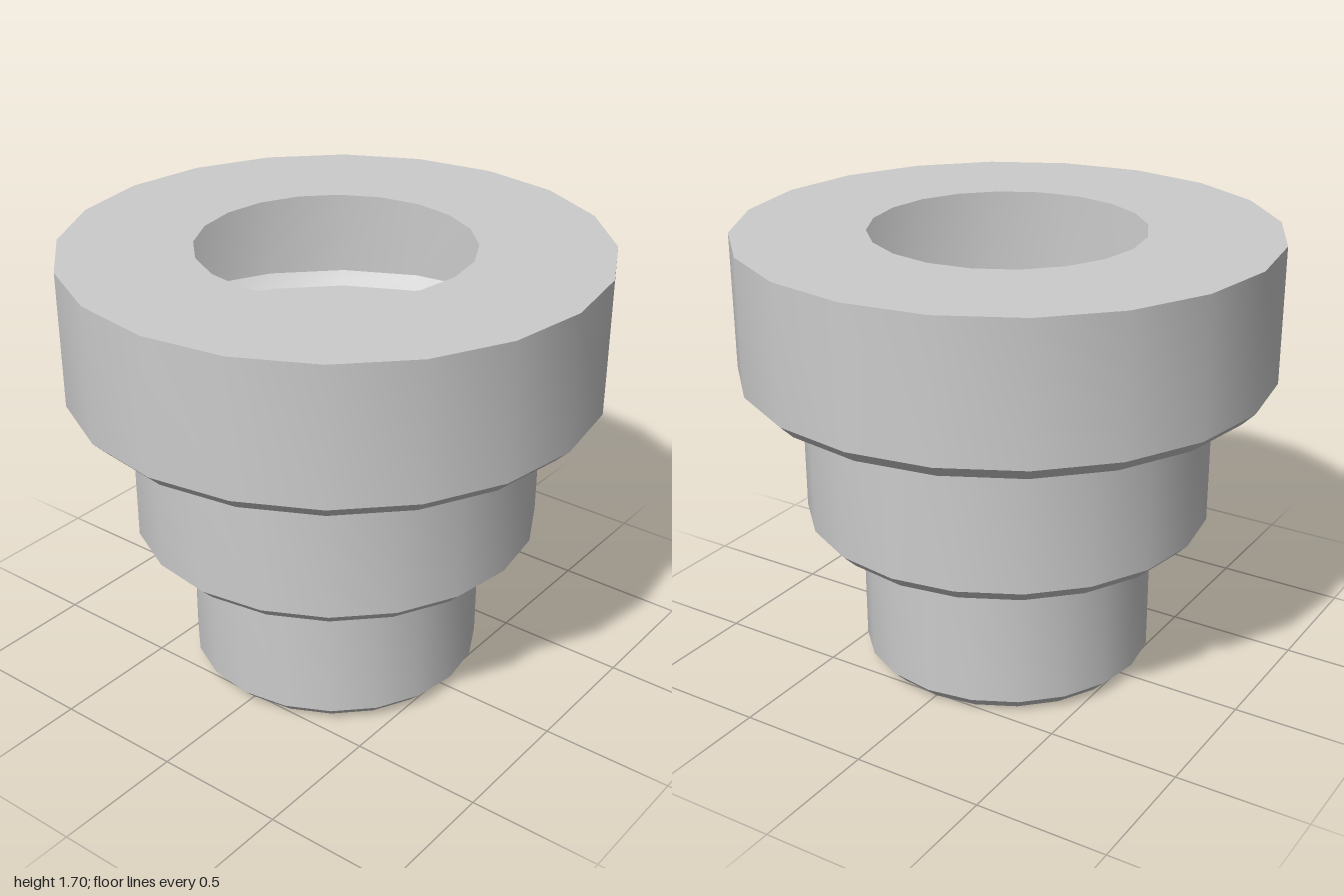
import * as THREE from 'three';
import { toCreasedNormals } from 'three/addons/utils/BufferGeometryUtils.js';

const SIDES = 20;
const BEVEL = 0.05;
const BORE = 0.51;

// Thin open shell turned around y: smooth around, sharp at profile corners
function turned(name, profile, material) {
  const points = profile.map(([r, y]) => new THREE.Vector2(r, y));
  const geometry = toCreasedNormals(new THREE.LatheGeometry(points, SIDES), Math.PI / 6);
  const mesh = new THREE.Mesh(geometry, material);
  mesh.name = name;
  return mesh;
}

export function createModel() {
  const group = new THREE.Group();
  group.name = 'steppedCollar';
  const material = new THREE.MeshStandardMaterial({ color: 0xcccccc, side: THREE.DoubleSide });

  // Three stacked tiers, each with a ledge, a bevelled lower edge and a straight wall
  const tiers = [
    { name: 'lowerTier', inner: BORE, radius: 0.56, bottom: 0, top: 0.57 },
    { name: 'middleTier', inner: 0.56, radius: 0.77, bottom: 0.57, top: 1.14 },
    { name: 'upperTier', inner: 0.77, radius: 1, bottom: 1.14, top: 1.7 },
  ];
  for (const { name, inner, radius, bottom, top } of tiers) {
    const profile = [
      [radius - BEVEL, bottom],
      [radius, bottom + BEVEL],
      [radius, top],
    ];
    if (inner < radius - BEVEL) profile.unshift([inner, bottom]);
    group.add(turned(name, profile, material));
  }

  // Flat top ring around the opening
  group.add(turned('topRing', [[1, 1.7], [BORE, 1.7]], material));
  return group;
}
